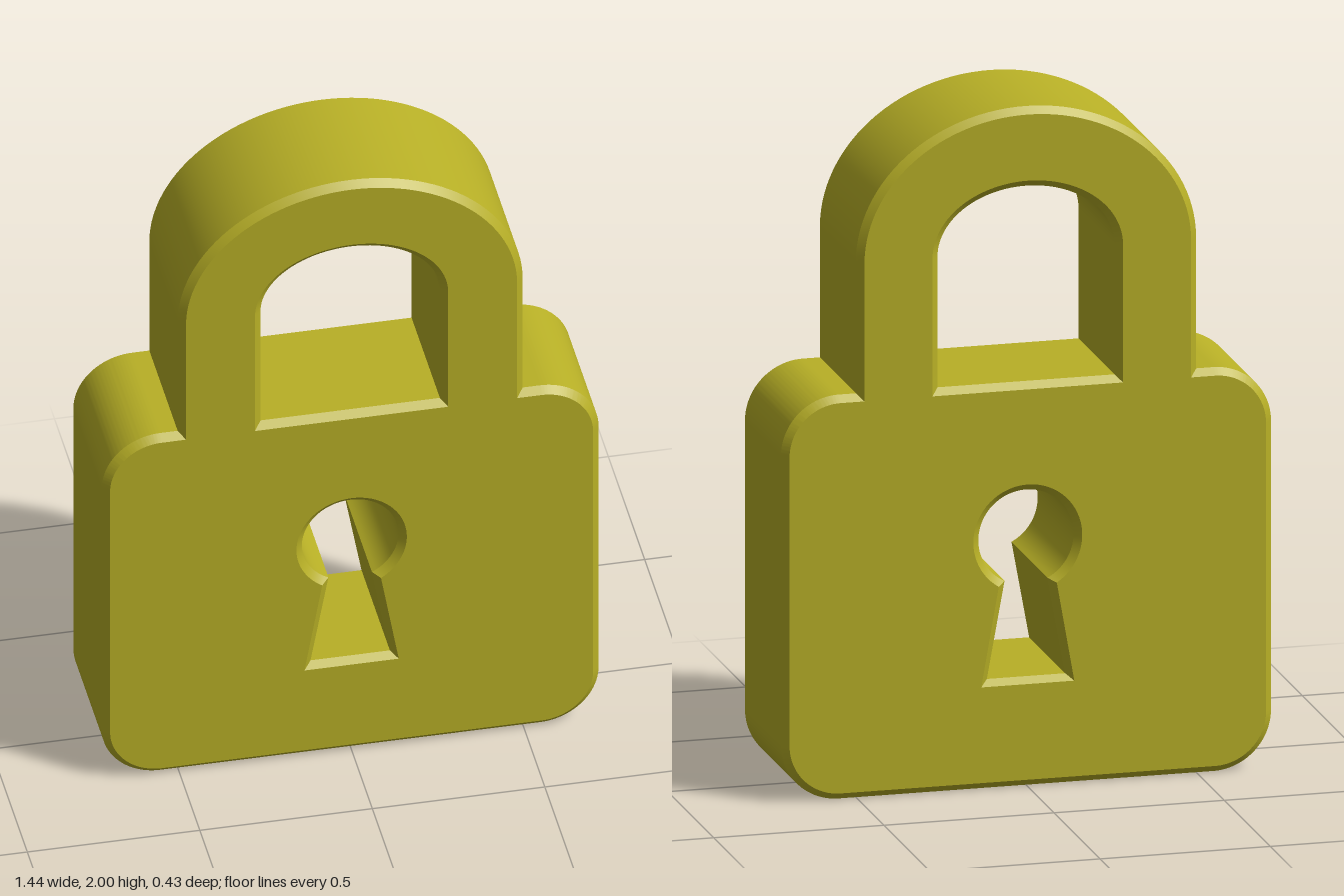
import * as THREE from 'three';
import { toCreasedNormals } from 'three/addons/utils/BufferGeometryUtils.js';

const HALF_DEPTH = 0.215;
const BEVEL = 0.02;

// Rounded body merging into the arched shackle
function padlockOutline() {
  const w = 0.72, top = 1.19, r = 0.17, q = Math.PI / 2;
  const s = new THREE.Shape();
  s.moveTo(-w + r, 0);
  s.absarc(w - r, r, r, -q, 0);
  s.absarc(w - r, top - r, r, 0, q);
  s.lineTo(0.5, top);
  s.absellipse(0, 1.575, 0.5, 0.425, 0, Math.PI);
  s.lineTo(-0.5, top);
  s.absarc(-w + r, top - r, r, q, 2 * q);
  s.absarc(-w + r, r, r, 2 * q, 3 * q);
  return s;
}

// Opening between the shackle and the body
function shackleOpening() {
  const p = new THREE.Path();
  p.moveTo(-0.26, 1.19);
  p.lineTo(0.26, 1.19);
  p.absellipse(0, 1.575, 0.26, 0.19, 0, Math.PI);
  p.lineTo(-0.26, 1.19);
  return p;
}

// Round keyhole with a flared slot below
function keyhole() {
  const r = 0.14, a = Math.asin(0.063 / r);
  const p = new THREE.Path();
  p.moveTo(-0.115, 0.32);
  p.lineTo(0.115, 0.32);
  p.absarc(0, 0.73, r, -Math.PI / 2 + a, Math.PI * 1.5 - a);
  p.lineTo(-0.115, 0.32);
  return p;
}

export function createModel() {
  const group = new THREE.Group();
  group.name = 'padlock';

  const shape = padlockOutline();
  shape.holes.push(shackleOpening(), keyhole());

  // Chamfered slab, centred in depth
  const depth = 2 * (HALF_DEPTH - BEVEL);
  const geometry = new THREE.ExtrudeGeometry(shape, {
    depth,
    curveSegments: 28,
    bevelEnabled: true,
    bevelThickness: BEVEL,
    bevelSize: BEVEL,
    bevelOffset: -BEVEL,
    bevelSegments: 1,
  });
  geometry.translate(0, 0, -depth / 2);

  const mesh = new THREE.Mesh(
    toCreasedNormals(geometry, 0.5),
    new THREE.MeshStandardMaterial({ color: 0xb8b026 })
  );
  mesh.name = 'bodyAndShackle';
  group.add(mesh);
  return group;
}
